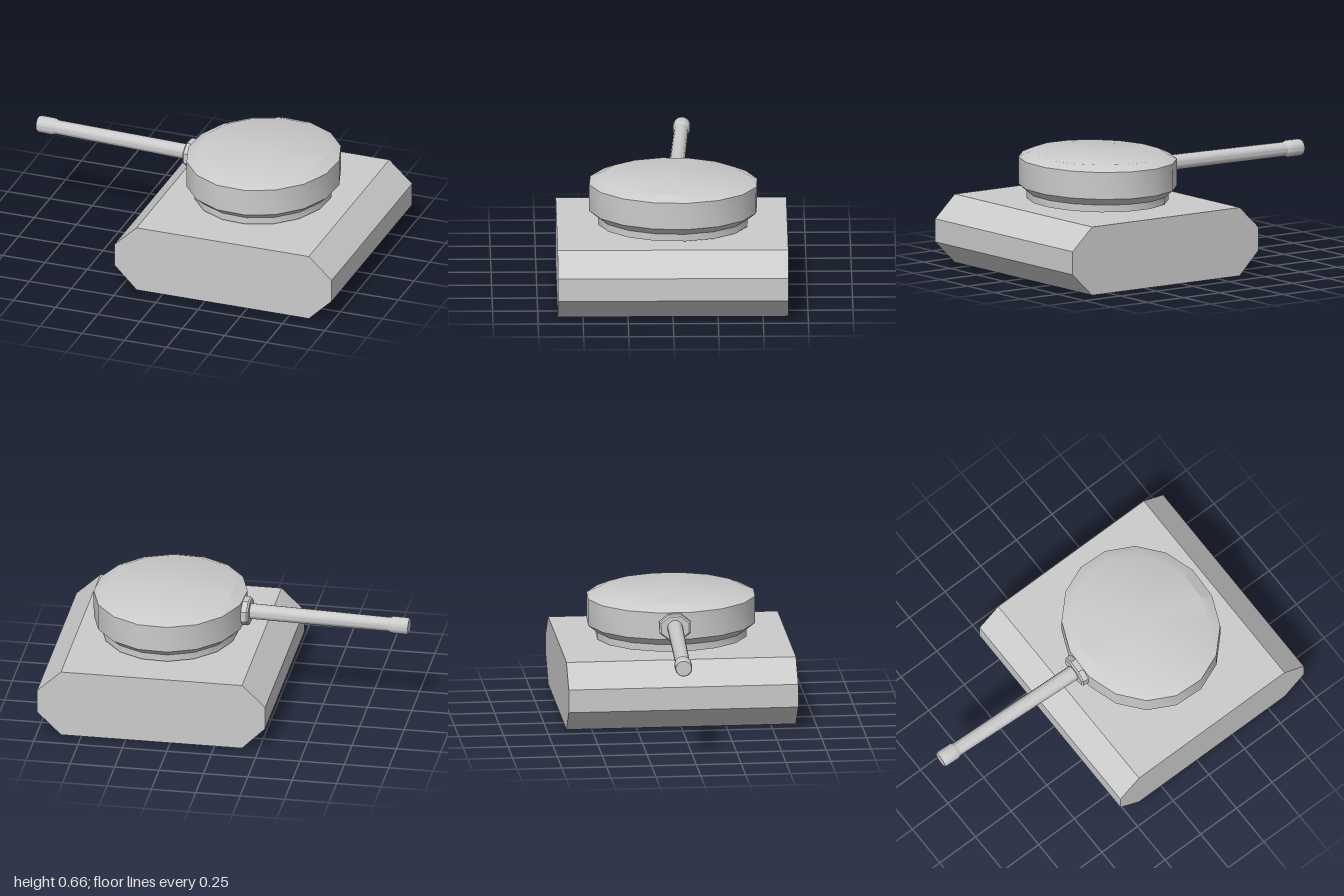
import * as THREE from 'three';
import { toCreasedNormals } from 'three/addons/utils/BufferGeometryUtils.js';

const material = new THREE.MeshStandardMaterial({ color: 0xcccccc });
const CREASE = 0.45;

function addPart(parent, name, geometry) {
  const mesh = new THREE.Mesh(toCreasedNormals(geometry, CREASE), material);
  mesh.name = name;
  parent.add(mesh);
  return mesh;
}

// Revolved profile lying along -x; points are [radius, distance from turret centre]
function alongGun(points, sides, zScale = 1) {
  const geometry = new THREE.LatheGeometry(points.map(([r, d]) => new THREE.Vector2(r, d)), sides, Math.PI / sides);
  return geometry.rotateZ(Math.PI / 2).scale(1, 1, zScale);
}

export function createModel() {
  const model = new THREE.Group();
  model.name = 'tank';

  // Hull: bevelled side outline pulled across the width
  const outline = [[-0.155, 0], [0.865, 0], [1, 0.13], [1, 0.26], [0.865, 0.385], [-0.155, 0.385], [-0.285, 0.26], [-0.285, 0.13]];
  const hullShape = new THREE.Shape(outline.map(([x, y]) => new THREE.Vector2(x, y)));
  const hull = new THREE.ExtrudeGeometry(hullShape, { depth: 1.28, bevelEnabled: false });
  addPart(model, 'hull', hull.translate(0, 0, -0.64));

  // Turret group carries the gun and is turned slightly
  const turret = new THREE.Group();
  turret.name = 'turret';
  turret.position.set(0.357, 0, -0.003);
  turret.rotation.set(-0.006, -0.047, 0);
  model.add(turret);

  // Oval turret body with neck ring, flared underside and bevelled roof
  const profile = [[0, 0.397], [0.38, 0.397], [0.38, 0.437], [0.425, 0.478], [0.425, 0.63], [0.362, 0.66], [0, 0.66]];
  const body = new THREE.LatheGeometry(profile.map(([r, y]) => new THREE.Vector2(r, y)), 16, Math.PI / 16);
  addPart(turret, 'turretBody', body.scale(1, 1, 1.113));

  // Gun: mantlet, tapered barrel and thicker muzzle
  const gun = new THREE.Group();
  gun.name = 'gun';
  gun.position.y = 0.552;
  turret.add(gun);
  addPart(gun, 'mantlet', alongGun([[0, 0.36], [0.078, 0.36], [0.078, 0.448], [0.07, 0.457], [0, 0.457]], 8, 1.2));
  addPart(gun, 'barrel', alongGun([[0, 0.4], [0.044, 0.4], [0.04, 1.27], [0, 1.27]], 16));
  addPart(gun, 'muzzle', alongGun([[0, 1.245], [0.04, 1.245], [0.048, 1.265], [0.048, 1.345], [0.043, 1.357], [0, 1.357]], 16));

  return model;
}
